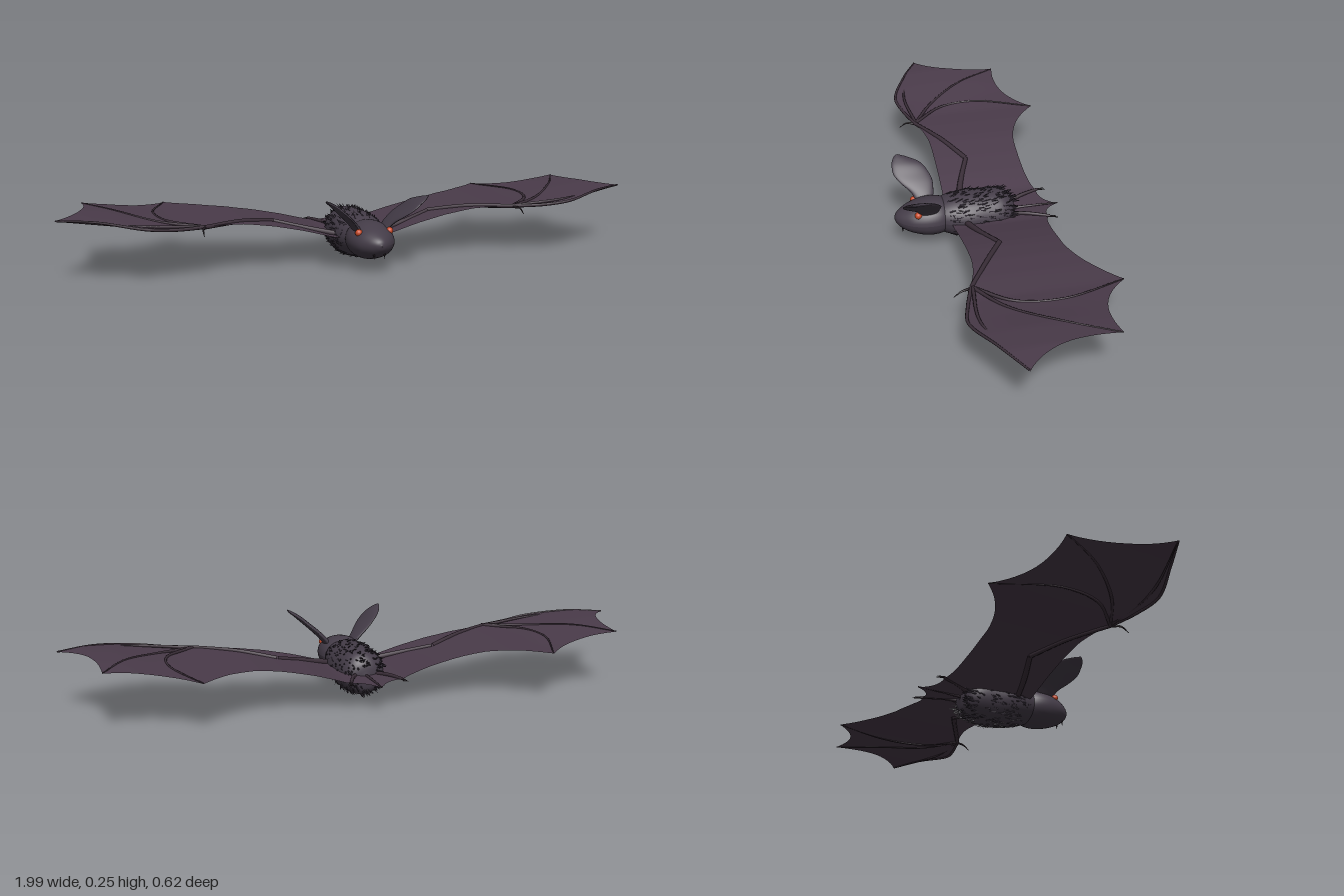
import * as THREE from 'three';
import { mergeGeometries } from 'three/addons/utils/BufferGeometryUtils.js';

const mat = (name, color, side = THREE.FrontSide) => {
  const m = new THREE.MeshStandardMaterial({ color, side });
  m.name = name;
  return m;
};

const V = (x, y, z) => new THREE.Vector3(x, y, z);

// Smooth skin over elliptical sections [x, y, z, a, b]; u and w are the ellipse axes
function sampler(sections) {
  const centre = new THREE.CatmullRomCurve3(sections.map(s => V(s[0], s[1], s[2])), false, 'catmullrom');
  const radii = new THREE.CatmullRomCurve3(sections.map(s => V(s[3], s[4], 0)), false, 'catmullrom');
  return t => ({ c: centre.getPoint(t), r: radii.getPoint(t) });
}

// Rows of points joined into a surface
function skin(rows) {
  const n = rows[0].length, index = [];
  for (let i = 0; i < rows.length - 1; i++)
    for (let j = 0; j < n - 1; j++) {
      const a = i * n + j, b = a + n;
      index.push(a, a + 1, b, a + 1, b + 1, b);
    }
  const g = new THREE.BufferGeometry().setFromPoints(rows.flat());
  g.setIndex(index);
  g.computeVertexNormals();
  return g;
}

function loft(sections, u, w, steps = 32, sides = 32) {
  const at = sampler(sections), rows = [];
  for (let i = 0; i <= steps; i++) {
    const { c, r } = at(i / steps), row = [];
    for (let j = 0; j <= sides; j++) {
      const q = j / sides * Math.PI * 2;
      row.push(c.clone().addScaledVector(u, Math.max(r.x, 0.001) * Math.cos(q))
        .addScaledVector(w, Math.max(r.y, 0.001) * Math.sin(q)));
    }
    rows.push(row);
  }
  return skin(rows);
}

// Height of the wing above the ground
const RISE = [0.09, 0.1, 0.128, 0.15, 0.165, 0.171, 0.17, 0.181, 0.195, 0.205, 0.2, 0.2];
function wingY(x, z) {
  const k = Math.min(Math.abs(x) * 10, 10), i = Math.floor(k);
  const lift = THREE.MathUtils.clamp((Math.abs(x) - 0.6) / 0.2, 0, 1);
  return THREE.MathUtils.lerp(RISE[i], RISE[i + 1], k - i) + 0.008 * lift * Math.max(0, 1 - (z / 0.2) ** 2);
}

// Outline in panels: start, control and end as x, z
const TRAILING = [
  [0, -0.26, 0.03, -0.195, 0.09, -0.205],
  [0.09, -0.205, 0.14, -0.175, 0.35, -0.185],
  [0.35, -0.185, 0.48, -0.2, 0.59, -0.31],
  [0.59, -0.31, 0.7, -0.175, 0.88, -0.215],
  [0.88, -0.215, 0.87, 0, 0.995, 0.085],
];
const LEADING = [
  [0, 0.12, 0.04, 0.125, 0.08, 0.125],
  [0.08, 0.125, 0.2, 0.122, 0.35, 0.122],
  [0.35, 0.122, 0.47, 0.122, 0.55, 0.165],
  [0.55, 0.165, 0.64, 0.19, 0.73, 0.205],
  [0.73, 0.205, 0.86, 0.155, 0.995, 0.085],
];

function membrane(s) {
  const bend = ([a, b, c, d, e, f], t) => new THREE.QuadraticBezierCurve(
    new THREE.Vector2(a, b), new THREE.Vector2(c, d), new THREE.Vector2(e, f)).getPoint(t);
  const rows = [];
  TRAILING.forEach((edge, p) => {
    for (let i = p ? 1 : 0; i <= 12; i++) {
      const back = bend(edge, i / 12), front = bend(LEADING[p], i / 12), row = [];
      for (let j = 0; j <= 14; j++) {
        const q = front.clone().lerp(back, j / 14);
        row.push(V(s * q.x, wingY(q.x, q.y), q.y));
      }
      rows.push(s > 0 ? row : row.reverse());
    }
  });
  return skin(rows);
}

// Tapering bone through points
function bone(points, r0, r1) {
  const curve = new THREE.CatmullRomCurve3(points), n = 24;
  const g = new THREE.TubeGeometry(curve, n, 1, 8), p = g.attributes.position, v = V(0, 0, 0);
  for (let i = 0; i < p.count; i++) {
    const t = Math.floor(i / 9) / n, c = curve.getPointAt(t);
    v.fromBufferAttribute(p, i).sub(c).multiplyScalar(r0 + (r1 - r0) * t).add(c);
    p.setXYZ(i, v.x, v.y, v.z);
  }
  return g;
}

function cone(base, dir, length, radius, sides) {
  const g = new THREE.ConeGeometry(radius, length, sides).translate(0, length / 2, 0);
  g.applyQuaternion(new THREE.Quaternion().setFromUnitVectors(V(0, 1, 0), dir.clone().normalize()));
  return g.translate(base.x, base.y, base.z);
}

export function createModel() {
  const bat = new THREE.Group();
  bat.name = 'bat';
  const fur = mat('fur', 0x443c48), tuftMat = mat('dark fur', 0x362f3a);
  const skinMat = mat('wing skin', 0x4a3b4a, THREE.DoubleSide);
  const boneMat = mat('wing bone', 0x3a2e38), clawMat = mat('claw', 0x2a2228);
  const eyeMat = mat('eye orange', 0xc84a28);
  const add = (name, geometry, material) => {
    const m = new THREE.Mesh(geometry, material);
    m.name = name;
    bat.add(m);
  };
  const X = V(1, 0, 0), Y = V(0, 1, 0), Z = V(0, 0, 1);

  // Torso and head
  const torso = [
    [0, 0.085, -0.105, 0.005, 0.005], [0, 0.085, -0.095, 0.05, 0.05], [0, 0.09, -0.06, 0.075, 0.075],
    [0, 0.09, 0, 0.083, 0.081], [0, 0.093, 0.06, 0.087, 0.078], [0, 0.097, 0.12, 0.078, 0.068],
    [0, 0.1, 0.17, 0.06, 0.05]];
  add('torso', loft(torso, X, Y), fur);
  add('head', loft([
    [0, 0.1, 0.11, 0.04, 0.04], [0, 0.1, 0.15, 0.07, 0.06], [0, 0.1, 0.2, 0.077, 0.063],
    [0, 0.1, 0.25, 0.066, 0.05], [0, 0.1, 0.285, 0.043, 0.034], [0, 0.102, 0.305, 0.02, 0.017],
    [0, 0.102, 0.312, 0.001, 0.001]], X, Y), fur);

  // Fur tufts swept backwards over the torso
  let seed = 7;
  const rnd = () => (seed = (seed * 16807) % 2147483647) / 2147483647;
  const at = sampler(torso), tufts = [];
  for (let i = 0; i < 480; i++) {
    const { c, r } = at(0.12 + 0.75 * rnd()), q = rnd() * Math.PI * 2;
    const out = V(Math.cos(q), Math.sin(q), 0);
    const base = c.clone().add(V(out.x * (r.x - 0.002), out.y * (r.y - 0.002), 0));
    const dir = out.multiplyScalar(0.25 + 0.2 * rnd()).add(V(0.5 * rnd() - 0.25, 0.5 * rnd() - 0.25, -1));
    tufts.push(cone(base, dir, 0.016 + 0.012 * rnd(), 0.0035, 4));
  }
  add('furTufts', mergeGeometries(tufts), tuftMat);

  for (const s of [1, -1]) {
    const side = s > 0 ? 'left' : 'right';
    // Points lying on the wing surface
    const on = list => list.map(([x, z]) => V(s * x, wingY(x, z), z));

    add(side + 'WingMembrane', membrane(s), skinMat);

    // Arm and finger bones
    const bones = [
      bone(on([[0.06, 0.08], [0.17, 0.05], [0.28, 0.01]]), 0.011, 0.008),
      bone(on([[0.28, 0.01], [0.4, 0.075], [0.54, 0.155]]), 0.009, 0.007),
      bone(on([[0.54, 0.155], [0.64, 0.185], [0.73, 0.2], [0.87, 0.145], [0.99, 0.085]]), 0.006, 0.003),
      bone(on([[0.54, 0.15], [0.74, 0.165], [0.99, 0.085]]), 0.006, 0.002),
      bone(on([[0.54, 0.15], [0.67, 0.07], [0.79, -0.06], [0.88, -0.213]]), 0.006, 0.002),
      bone(on([[0.54, 0.15], [0.64, 0.04], [0.66, -0.1], [0.59, -0.308]]), 0.006, 0.002),
    ];
    add(side + 'WingBones', mergeGeometries(bones), boneMat);
    add(side + 'ThumbClaw', bone([V(s * 0.54, 0.168, 0.155), V(s * 0.55, 0.168, 0.185), V(s * 0.552, 0.152, 0.21)],
      0.005, 0.001), clawMat);

    // Leg, foot and toes
    add(side + 'Leg', bone([V(s * 0.03, 0.09, -0.08), V(s * 0.06, 0.1, -0.14), V(s * 0.09, 0.1, -0.21)],
      0.008, 0.005), boneMat);
    const toes = [-1, 0, 1].map(k =>
      cone(V(s * 0.09, 0.1, -0.205), V(s * 0.1 + k * 0.25, -0.12, -1), 0.035, 0.0035, 6));
    add(side + 'Toes', mergeGeometries(toes), clawMat);

    // Broad leaning ear
    add(side + 'Ear', loft([
      [s * 0.045, 0.135, 0.2, 0.03, 0.014], [s * 0.065, 0.16, 0.205, 0.04, 0.014],
      [s * 0.09, 0.185, 0.22, 0.056, 0.014], [s * 0.115, 0.207, 0.235, 0.06, 0.013],
      [s * 0.14, 0.229, 0.246, 0.05, 0.012], [s * 0.16, 0.243, 0.262, 0.027, 0.009],
      [s * 0.172, 0.252, 0.274, 0.002, 0.002]], Z, X), fur);

    // Eye and fang
    add(side + 'Eye', new THREE.SphereGeometry(0.012, 20, 14).translate(s * 0.053, 0.135, 0.237), eyeMat);
    add(side + 'Fang', cone(V(s * 0.018, 0.072, 0.286), V(0, -1, 0.05), 0.018, 0.004, 8), clawMat);
  }

  // Tail along the middle of the rear membrane
  add('tail', bone([V(0, 0.09, -0.09), V(0, 0.092, -0.18), V(0, 0.092, -0.26)], 0.006, 0.002), boneMat);
  return bat;
}
